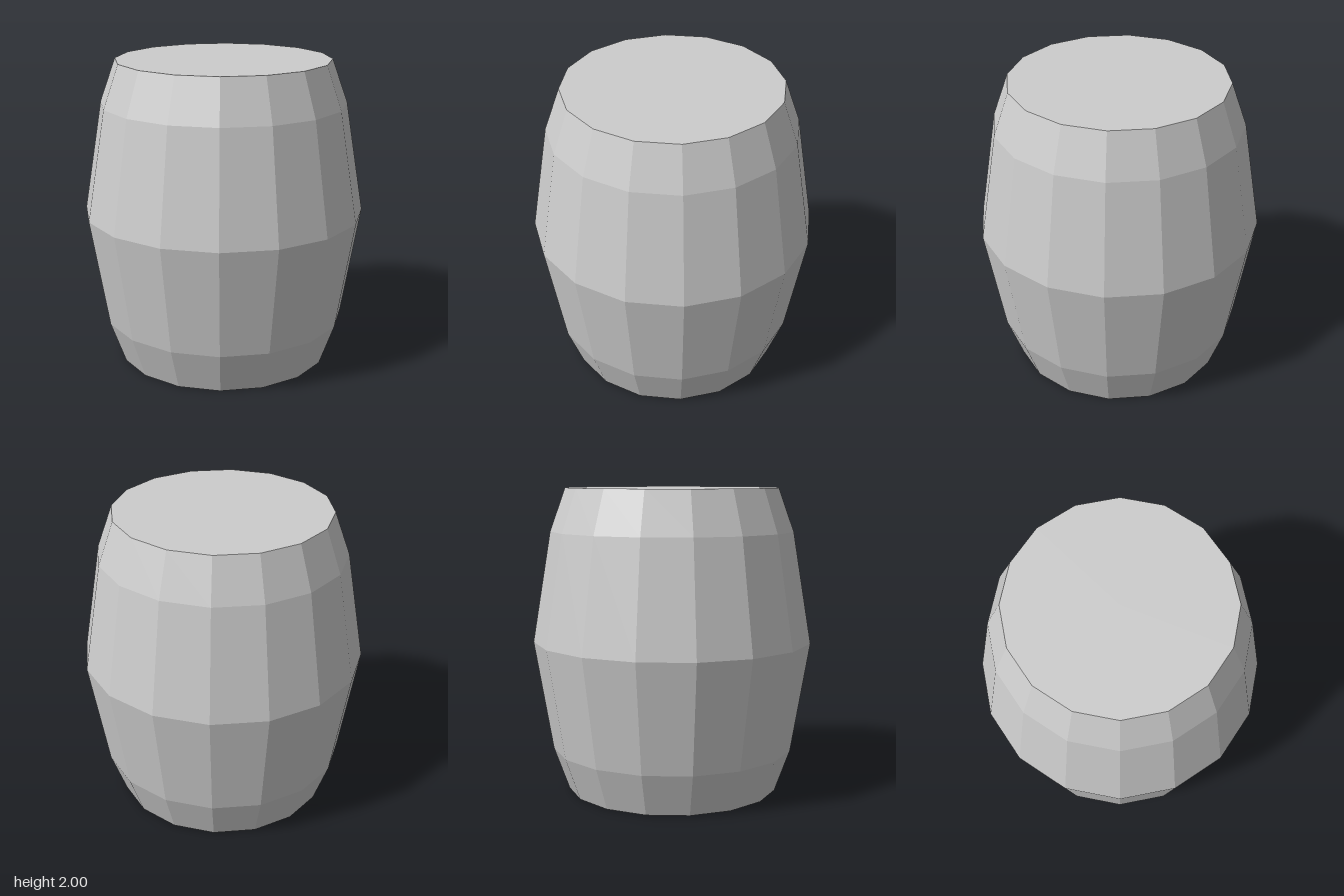
import * as THREE from 'three';

const SIDES = 16;

export function createModel() {
  const barrel = new THREE.Group();
  barrel.name = 'barrel';

  const grey = new THREE.MeshStandardMaterial({ color: 0xcccccc });
  grey.name = 'plain grey';

  // Bulging faceted wall, from bottom to top
  const profile = [[0.7, 0], [0.8, 0.28], [0.92, 1], [0.8, 1.72], [0.7, 2]]
    .map(([radius, y]) => new THREE.Vector2(radius, y));
  const wallGeometry = new THREE.LatheGeometry(profile, SIDES).toNonIndexed();
  wallGeometry.computeVertexNormals(); // flat facets
  const wall = new THREE.Mesh(wallGeometry, grey);
  wall.name = 'wall';
  barrel.add(wall);

  // Flat round ends
  const addEnd = (name, y, tilt) => {
    const end = new THREE.Mesh(new THREE.CircleGeometry(0.7, SIDES), grey);
    end.name = name;
    end.position.y = y;
    end.rotation.x = tilt;
    barrel.add(end);
  };
  addEnd('lid', 2, -Math.PI / 2);
  addEnd('base', 0, Math.PI / 2);

  return barrel;
}
